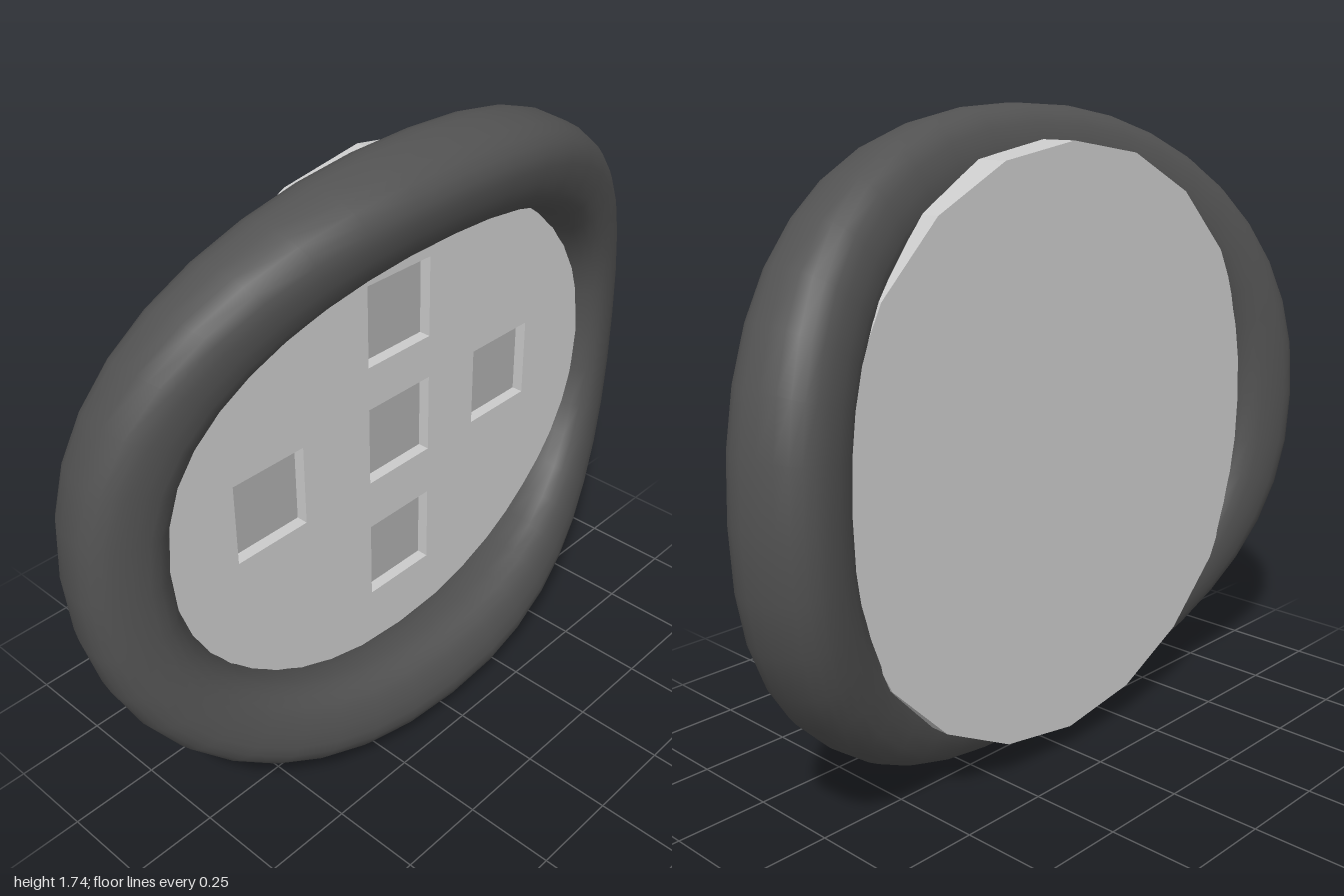
import * as THREE from 'three';

const CENTER_Y = 0.87;

// point on a superellipse
function superellipse(a, b, n, t) {
  const c = Math.cos(t), s = Math.sin(t);
  return [
    a * Math.sign(c) * Math.abs(c) ** (2 / n),
    b * Math.sign(s) * Math.abs(s) ** (2 / n),
  ];
}

// saddle-bent ring: top and bottom lean forward, sides sweep back
function ringGeometry(segments = 40, sides = 24) {
  const A = 0.874, B = 0.744, N = 2.25;
  const positions = [], index = [];
  for (let i = 0; i < segments; i++) {
    const t = (i / segments) * Math.PI * 2;
    const [x, y] = superellipse(A, B, N, t);
    const out = new THREE.Vector2(
      Math.sign(x) * Math.abs(x / A) ** (N - 1) / A,
      Math.sign(y) * Math.abs(y / B) ** (N - 1) / B
    ).normalize();
    const z = 0.09 - 0.18 * Math.cos(t) ** 2;
    const tilt = -0.3 * Math.cos(2 * t);
    for (let j = 0; j < sides; j++) {
      const [u, v] = superellipse(0.12, 0.13, 2.5, (j / sides) * Math.PI * 2);
      const r = u * Math.cos(tilt) - v * Math.sin(tilt);
      const d = u * Math.sin(tilt) + v * Math.cos(tilt);
      positions.push(x + out.x * r, CENTER_Y + y + out.y * r, z + d);
      const i2 = (i + 1) % segments, j2 = (j + 1) % sides;
      const a = i * sides + j, b = i2 * sides + j, c = i2 * sides + j2, e = i * sides + j2;
      index.push(a, b, e, b, c, e);
    }
  }
  const g = new THREE.BufferGeometry();
  g.setAttribute('position', new THREE.Float32BufferAttribute(positions, 3));
  g.setIndex(index);
  g.computeVertexNormals();
  return g;
}

// twenty-sided outline of the panel
function panelShape() {
  const pts = [];
  for (let i = 0; i < 20; i++) {
    const a = (i / 20) * Math.PI * 2;
    pts.push(new THREE.Vector2(0.79 * Math.cos(a), 0.86 + 0.79 * Math.sin(a)));
  }
  return new THREE.Shape(pts);
}

export function createModel() {
  const model = new THREE.Group();
  model.name = 'framedPanel';
  const grey = new THREE.MeshStandardMaterial({ color: 0xcccccc });
  const dark = new THREE.MeshStandardMaterial({ color: 0x525252 });
  const recessMat = new THREE.MeshStandardMaterial({ color: 0xaeaeae });

  const add = (name, geometry, material, x = 0, y = 0, z = 0) => {
    const mesh = new THREE.Mesh(geometry, material);
    mesh.name = name;
    mesh.position.set(x, y, z);
    model.add(mesh);
  };

  // padded outer ring
  add('ring', ringGeometry(), dark);

  // panel: solid back slab and a front plate with five square openings
  const size = 0.23, depth = 0.035, thickness = 0.14;
  const recesses = [[0, 0.885], [0, 1.24], [0, 0.51], [-0.465, 0.885], [0.415, 0.885]];
  const h = size / 2;
  const front = panelShape();
  for (const [x, y] of recesses) {
    front.holes.push(new THREE.Path([
      new THREE.Vector2(x - h, y - h), new THREE.Vector2(x - h, y + h),
      new THREE.Vector2(x + h, y + h), new THREE.Vector2(x + h, y - h),
    ]));
  }
  const extrude = (shape, d) => new THREE.ExtrudeGeometry(shape, { depth: d, bevelEnabled: false });
  add('panelBack', extrude(panelShape(), thickness - depth), grey, 0, 0, -thickness);
  add('panelFront', extrude(front, depth), grey, 0, 0, -depth);

  // darker floors of the recesses
  const floor = new THREE.PlaneGeometry(size, size);
  for (const [x, y] of recesses) add('recessFloor', floor, recessMat, x, y, -depth + 0.002);

  return model;
}
